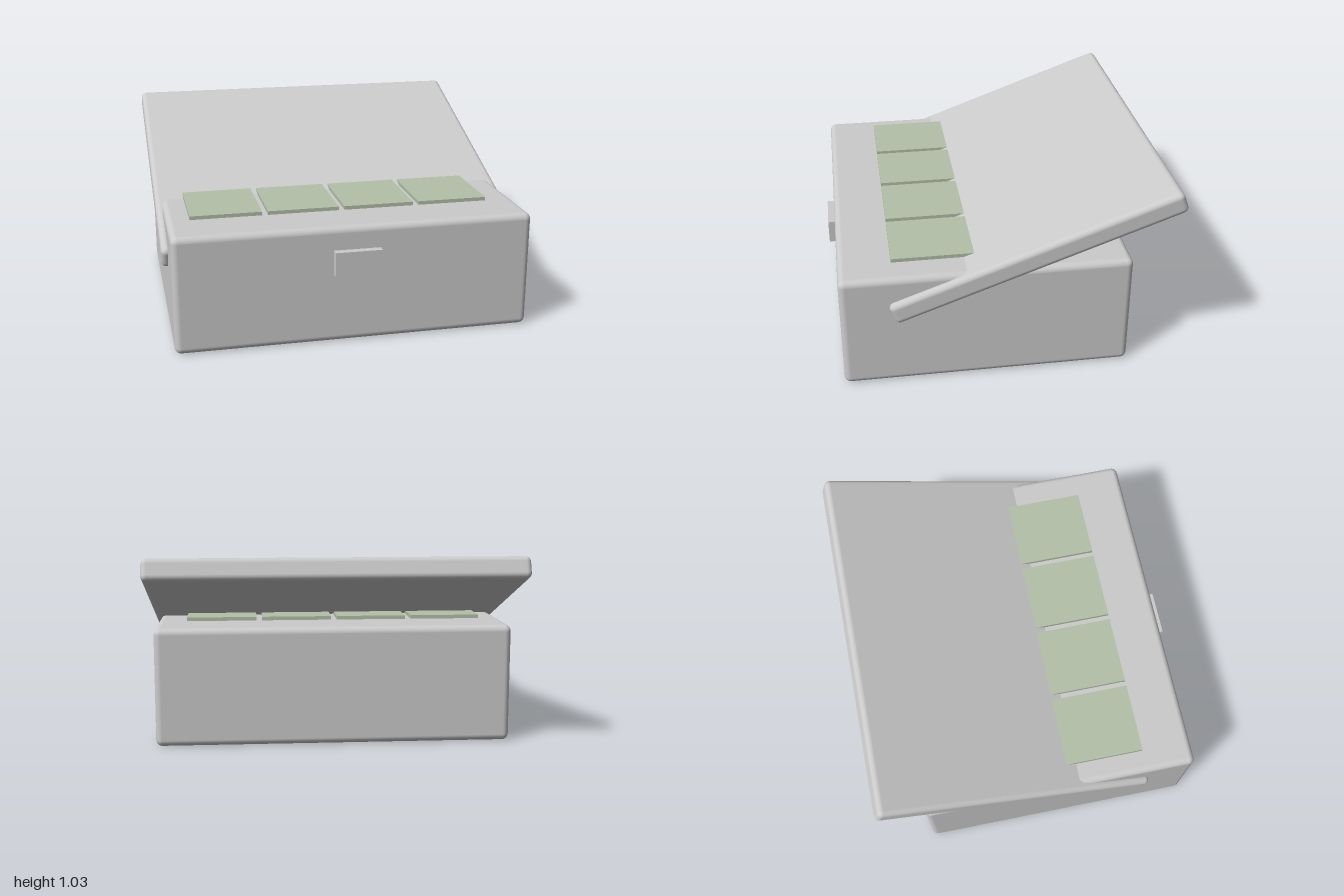
import * as THREE from 'three';
import { RoundedBoxGeometry } from 'three/addons/geometries/RoundedBoxGeometry.js';

export function createModel() {
  const group = new THREE.Group();
  const grey = new THREE.MeshStandardMaterial({ color: 0xcccccc });
  const green = new THREE.MeshStandardMaterial({ color: 0xb4c0a8 });

  const add = (name, geometry, material, x, y, z) => {
    const mesh = new THREE.Mesh(geometry, material);
    mesh.name = name;
    mesh.position.set(x, y, z);
    group.add(mesh);
    return mesh;
  };

  // Softly rounded body
  add('body', new RoundedBoxGeometry(1.925, 0.64, 1.54, 4, 0.035), grey, 0, 0.325, 0.11);

  // Lid, tilted up towards the back
  const lid = add('lid', new RoundedBoxGeometry(1.995, 0.12, 1.61, 4, 0.03), grey, 0, 0.713, -0.145);
  lid.rotation.x = THREE.MathUtils.degToRad(20);

  // Latch plate on the front
  add('latch', new THREE.BoxGeometry(0.25, 0.13, 0.06), grey, 0, 0.455, 0.89);

  // Four panels lying on top of the body
  for (let i = 0; i < 4; i++) {
    add(`panel${i + 1}`, new THREE.BoxGeometry(0.386, 0.03, 0.97), green, -0.647 + i * 0.418, 0.65, 0.115);
  }

  return group;
}
